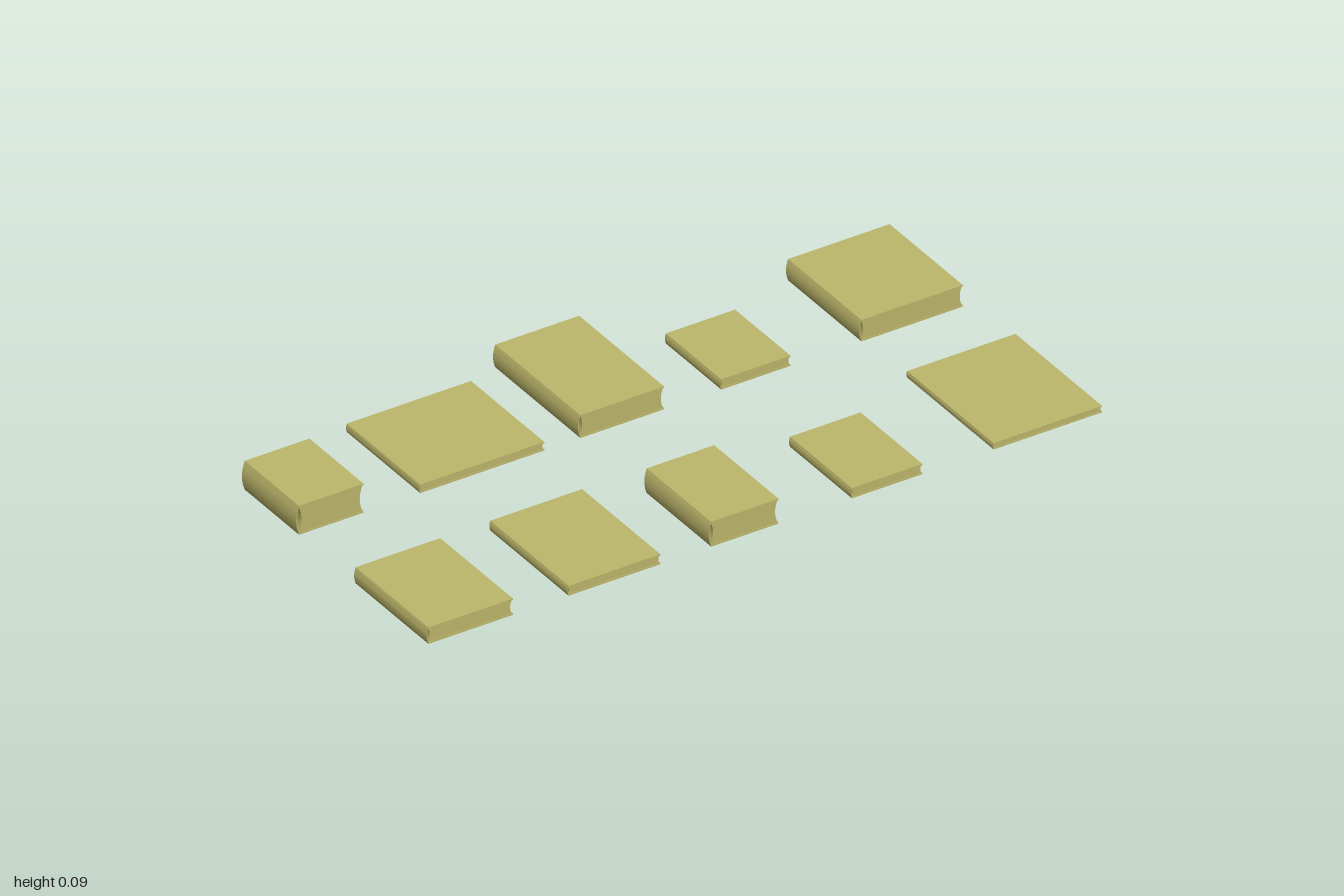
import * as THREE from 'three';
import { toCreasedNormals } from 'three/addons/utils/BufferGeometryUtils.js';

const material = new THREE.MeshStandardMaterial({ color: 0xbdb76b });

// Extrude an x-y profile along z between two depths, smooth across the curves
function slab(name, shape, z0, z1) {
  const extruded = new THREE.ExtrudeGeometry(shape, { depth: z1 - z0, bevelEnabled: false, curveSegments: 12 });
  const mesh = new THREE.Mesh(toCreasedNormals(extruded, 0.6), material);
  mesh.position.z = z0;
  mesh.name = name;
  return mesh;
}

// A closed hardback lying flat, spine towards -x
function book(name, x0, x1, z0, z1, h) {
  const t = Math.min(0.004, h * 0.15); // board thickness
  const b = h * 0.1;                   // spine bulge
  const s = Math.min(0.002, b * 0.4);  // spine thickness
  const lip = 0.002;                   // board overhang past the pages

  // Boards and rounded spine in one C-shaped profile
  const cover = new THREE.Shape();
  cover.moveTo(x1, 0);
  cover.lineTo(x0 + b, 0);
  cover.quadraticCurveTo(x0 - b, h / 2, x0 + b, h);
  cover.lineTo(x1, h);
  cover.lineTo(x1, h - t);
  cover.lineTo(x0 + b, h - t);
  cover.quadraticCurveTo(x0 - b + 2 * s, h / 2, x0 + b, t);
  cover.lineTo(x1, t);
  cover.closePath();

  // Page block: hollow fore-edge, and an open gap behind the spine
  const pages = new THREE.Shape();
  pages.moveTo(x0 + b, t);
  pages.lineTo(x1 - lip, t);
  pages.quadraticCurveTo(x1 - lip - 2 * b, h / 2, x1 - lip, h - t);
  pages.lineTo(x0 + b, h - t);
  pages.quadraticCurveTo(x0 + 3 * b, h / 2, x0 + b, t);

  const group = new THREE.Group();
  group.name = name;
  group.add(slab('cover', cover, z0, z1), slab('pages', pages, z0 + lip, z1 - lip));
  return group;
}

export function createModel() {
  const model = new THREE.Group();
  model.name = 'books';

  // Each book: left x, right x, back z, height; each row shares its front edge
  const rows = [
    { name: 'backRowBook', front: -0.105, books: [
      [-1, -0.8, -0.355, 0.085],
      [-0.635, -0.265, -0.443, 0.025],
      [-0.165, 0.09, -0.497, 0.067],
      [0.256, 0.464, -0.36, 0.03],
      [0.668, 0.975, -0.443, 0.063],
    ] },
    { name: 'frontRowBook', front: 0.497, books: [
      [-1, -0.745, 0.162, 0.048],
      [-0.583, -0.308, 0.136, 0.029],
      [-0.165, 0.042, 0.2, 0.073],
      [0.256, 0.468, 0.212, 0.03],
      [0.677, 1, 0.098, 0.019],
    ] },
  ];
  for (const row of rows) {
    row.books.forEach(([x0, x1, z0, h], i) => {
      model.add(book(row.name + (i + 1), x0, x1, z0, row.front, h));
    });
  }
  return model;
}
